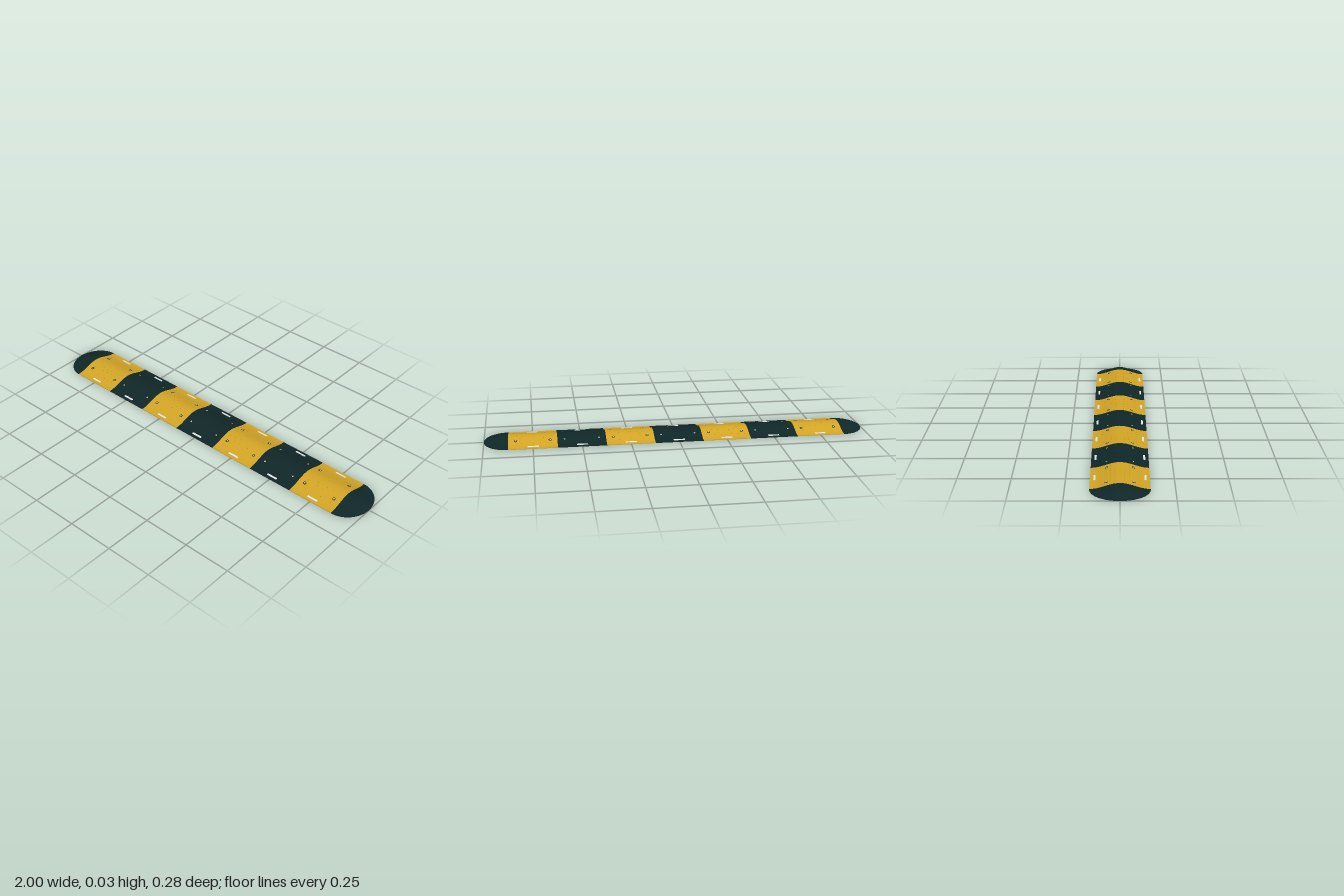
import * as THREE from 'three';
import { mergeGeometries } from 'three/addons/utils/BufferGeometryUtils.js';

const HALF = 0.138, RIM = 0.003, RISE = 0.029, SEG = 0.25, BODY = 0.875;

const yellow = new THREE.MeshStandardMaterial({ color: 0xd4a626 });
yellow.name = 'yellow rubber';
const black = new THREE.MeshStandardMaterial({ color: 0x102727 });
black.name = 'black rubber';
const white = new THREE.MeshStandardMaterial({ color: 0xe6e8e4 });
white.name = 'white reflector';
const metal = new THREE.MeshStandardMaterial({ color: 0xb9b9ae });
metal.name = 'bolt metal';

// Bell-shaped cross-section, t from -1 to 1
const bell = (t) => 0.5 * (1 + Math.cos(Math.PI * t));
const height = (z) => RIM + RISE * bell(z / HALF);
const tilt = (z) => Math.atan(RISE * 0.5 * Math.PI / HALF * Math.sin(Math.PI * z / HALF));

// Smooth patch through equal-length rows of points
function patch(rows) {
  const n = rows[0].length, index = [];
  for (let i = 0; i < rows.length - 1; i++) {
    for (let j = 0; j < n - 1; j++) {
      const a = i * n + j, c = a + n;
      index.push(a, a + 1, c, a + 1, c + 1, c);
    }
  }
  const g = new THREE.BufferGeometry();
  g.setAttribute('position', new THREE.Float32BufferAttribute(rows.flat(2), 3));
  g.setIndex(index);
  g.computeVertexNormals();
  return g;
}

// Solid lofted along x; each section has x, half width w and rise scale s
function loft(sections) {
  const N = 36;
  const top = sections.map(({ x, w, s }) => Array.from({ length: N + 1 }, (_, j) => {
    const t = -1 + 2 * j / N;
    return [x, RIM + RISE * s * bell(t), w * t];
  }));
  const strip = (f) => patch(sections.map(f));
  return mergeGeometries([
    patch(top),
    strip(({ x, w }) => [[x, RIM, w], [x, 0, w]]),
    strip(({ x, w }) => [[x, 0, w], [x, 0, -w]]),
    strip(({ x, w }) => [[x, 0, -w], [x, RIM, -w]]),
  ]);
}

// Part laid flat on the slope at x, z, lifted along the surface normal
function onSlope(geometry, x, z, lift) {
  const a = tilt(z);
  return geometry.rotateX(a).translate(x, height(z) + lift * Math.cos(a), z + lift * Math.sin(a));
}

const disc = (r, h, sides) => new THREE.CylinderGeometry(r, r, h, sides);

function add(parent, name, geometry, material) {
  const mesh = new THREE.Mesh(geometry, material);
  mesh.name = name;
  parent.add(mesh);
}

function segment(cx, rubber) {
  const g = new THREE.Group();
  g.name = 'segment';
  g.position.x = cx;
  add(g, 'rubberBody', loft([-SEG / 2, SEG / 2].map((x) => ({ x, w: HALF, s: 1 }))), rubber);

  const studs = [], washers = [], bolts = [], reflectors = [];
  for (const side of [-1, 1]) {
    // Staggered grip studs
    [0.022, 0.042, 0.084].forEach((z, row) => {
      for (let i = 0; i < 7; i++) {
        const x = -0.096 + i * 0.03 + (row % 2) * 0.012;
        studs.push(onSlope(disc(0.0035, 0.002, 8), x, side * z, 0));
      }
    });
    // Bolts in dark washers
    for (const x of [-0.088, 0.088]) {
      washers.push(onSlope(disc(0.008, 0.002, 16), x, side * 0.063, 0));
      bolts.push(onSlope(disc(0.0048, 0.002, 12), x, side * 0.063, 0.0005));
    }
    // Reflector strip near each long edge
    reflectors.push(onSlope(new THREE.BoxGeometry(0.058, 0.003, 0.01), 0, side * 0.117, 0.0008));
  }
  add(g, 'gripStuds', mergeGeometries(studs), rubber);
  add(g, 'washers', mergeGeometries(washers), black);
  add(g, 'bolts', mergeGeometries(bolts), metal);
  add(g, 'reflectors', mergeGeometries(reflectors), white);
  return g;
}

// Rounded end, side is -1 or 1
function endCap(side) {
  const sections = [];
  for (let i = 0; i <= 18; i++) {
    const a = (i / 18) * Math.PI / 2;
    sections.push({ x: side * (BODY + 0.125 * Math.sin(a)), w: HALF * Math.cos(a), s: Math.cos(a) ** 1.3 });
  }
  if (side < 0) sections.reverse();
  return loft(sections);
}

export function createModel() {
  const model = new THREE.Group();
  model.name = 'speedBump';
  for (let i = 0; i < 7; i++) {
    model.add(segment((i - 3) * SEG, i % 2 ? black : yellow));
  }
  add(model, 'leftEndCap', endCap(1), black);
  add(model, 'rightEndCap', endCap(-1), black);
  return model;
}
